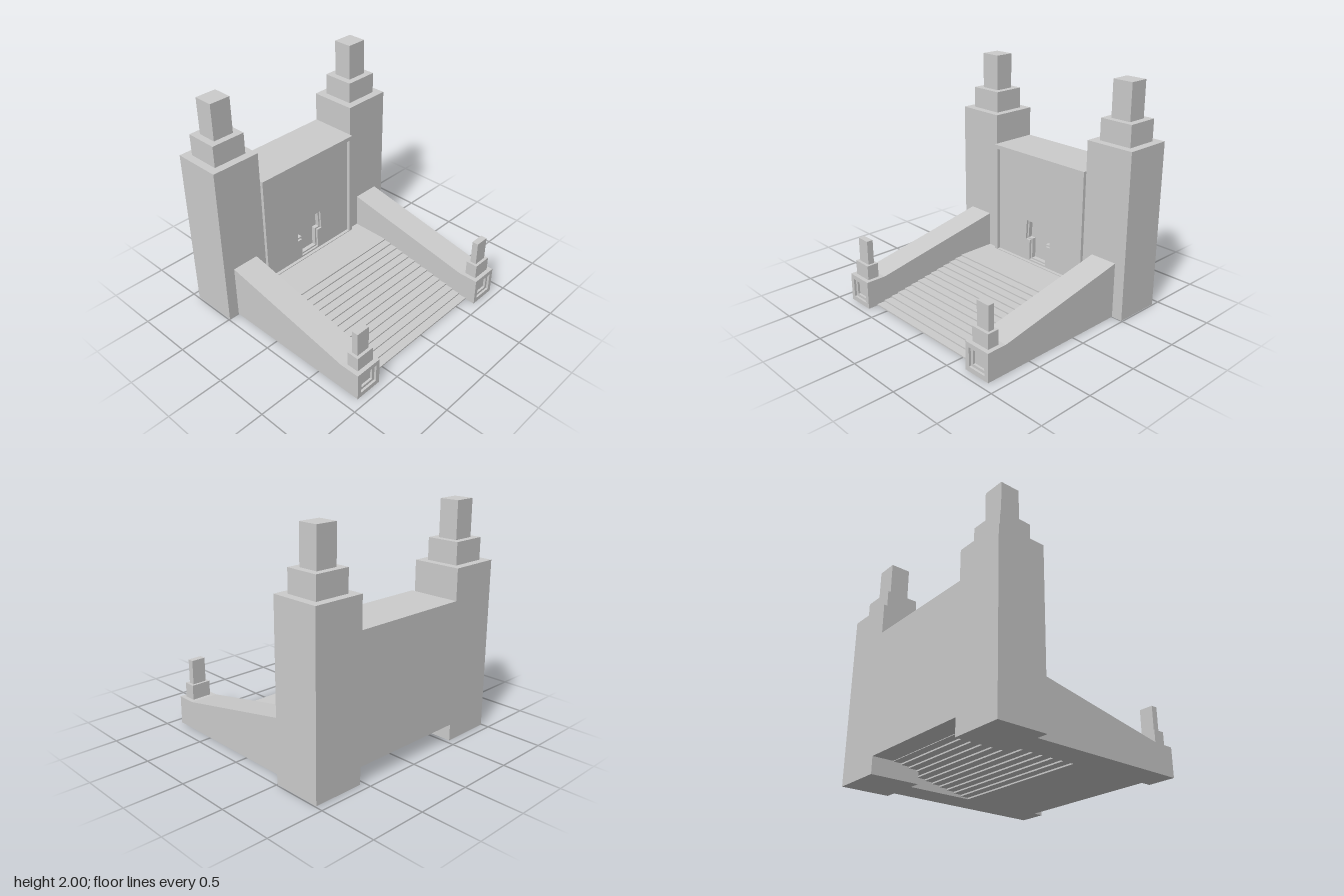
import * as THREE from 'three';

const stone = new THREE.MeshStandardMaterial({ color: 0xcccccc, flatShading: true });

function add(parent, name, geometry) {
  const mesh = new THREE.Mesh(geometry, stone);
  mesh.name = name;
  parent.add(mesh);
  return mesh;
}

// Box given by its limits on each axis
function block(parent, name, [x0, x1], [y0, y1], [z0, z1]) {
  const mesh = add(parent, name, new THREE.BoxGeometry(x1 - x0, y1 - y0, z1 - z0));
  mesh.position.set((x0 + x1) / 2, (y0 + y1) / 2, (z0 + z1) / 2);
  return mesh;
}

const outline = (pts) => pts.map(([x, y]) => new THREE.Vector2(x, y));
const rect = (x0, x1, y0, y1) => outline([[x0, y0], [x1, y0], [x1, y1], [x0, y1]]);

// Upright slab from z0 to z1 with an opening cut through it
function slab(parent, name, outer, hole, z0, z1) {
  const shape = new THREE.Shape(outer);
  shape.holes.push(new THREE.Path(hole));
  const geometry = new THREE.ExtrudeGeometry(shape, { depth: z1 - z0, bevelEnabled: false });
  return add(parent, name, geometry.translate(0, 0, z0));
}

// Doorway outline: wide tapered head on a narrower neck, shrunk by d
const doorway = (d) => outline([
  [-0.1 + d, 0.2 + d], [0.1 - d, 0.2 + d], [0.1 - d, 0.39 + d], [0.15 - d, 0.39 + d],
  [0.14 - d, 0.58 - d], [-0.14 + d, 0.58 - d], [-0.15 + d, 0.39 + d], [-0.1 + d, 0.39 + d],
]);

function buildTower(side) {
  const tower = new THREE.Group();
  tower.name = side > 0 ? 'leftTower' : 'rightTower';
  // Three stacked tiers: half width, bottom, top, half depth
  const tiers = [[0.225, 0, 1.49, 0.215], [0.155, 1.49, 1.68, 0.145], [0.095, 1.68, 2, 0.087]];
  tiers.forEach(([w, y0, y1, d], i) =>
    block(tower, `towerTier${i + 1}`, [-w, w], [y0, y1], [-d, d]));
  tower.position.set(side * 0.765, 0, -0.715);
  return tower;
}

function buildRamp(side) {
  const ramp = new THREE.Group();
  ramp.name = side > 0 ? 'leftBalustrade' : 'rightBalustrade';
  // Sloping body, profile drawn in z and y
  const profile = new THREE.Shape(outline(
    [[-0.5, 0], [0.89, 0], [0.89, 0.25], [0.75, 0.25], [-0.5, 0.5]]));
  const body = new THREE.ExtrudeGeometry(profile, { depth: 0.25, bevelEnabled: false });
  add(ramp, 'slopingWall', body.translate(0, 0, -0.125).rotateY(-Math.PI / 2));
  // Front end with a stepped square recess
  const face = rect(-0.125, 0.125, 0, 0.25);
  slab(ramp, 'innerRecess', face, rect(-0.062, 0.062, 0.067, 0.188), 0.89, 0.91);
  slab(ramp, 'outerRecess', face, rect(-0.087, 0.087, 0.043, 0.21), 0.91, 0.93);
  // Small pillar on top
  block(ramp, 'pillarBase', [-0.087, 0.087], [0.25, 0.38], [0.787, 0.893]);
  block(ramp, 'pillarTop', [-0.063, 0.063], [0.38, 0.595], [0.81, 0.867]);
  ramp.position.x = side * 0.765;
  return ramp;
}

function buildGateWall() {
  const wall = new THREE.Group();
  wall.name = 'gateWall';
  const face = rect(-0.54, 0.54, 0.145, 1.222);
  block(wall, 'wallCore', [-0.54, 0.54], [0.145, 1.222], [-0.93, -0.56]);
  slab(wall, 'doorRecess', face, doorway(0.015), -0.56, -0.52);
  slab(wall, 'doorSurround', face, doorway(0), -0.52, -0.5);
  slab(wall, 'wallFrame', face, rect(-0.5, 0.5, 0.185, 1.185), -0.5, -0.47);
  return wall;
}

function buildStairs() {
  const stairs = new THREE.Group();
  stairs.name = 'stairs';
  // Equal thin slabs, each set back from the one below
  const count = 14, rise = 0.178 / count, run = 0.0746;
  for (let i = 0; i < count; i++) {
    const front = 0.84 - i * run;
    block(stairs, `step${i + 1}`, [-0.64, 0.64], [i * rise, (i + 1) * rise], [front - 0.76, front]);
  }
  return stairs;
}

export function createModel() {
  const model = new THREE.Group();
  model.name = 'templeGate';
  for (const side of [1, -1]) model.add(buildTower(side), buildRamp(side));
  model.add(buildGateWall(), buildStairs());
  return model;
}
